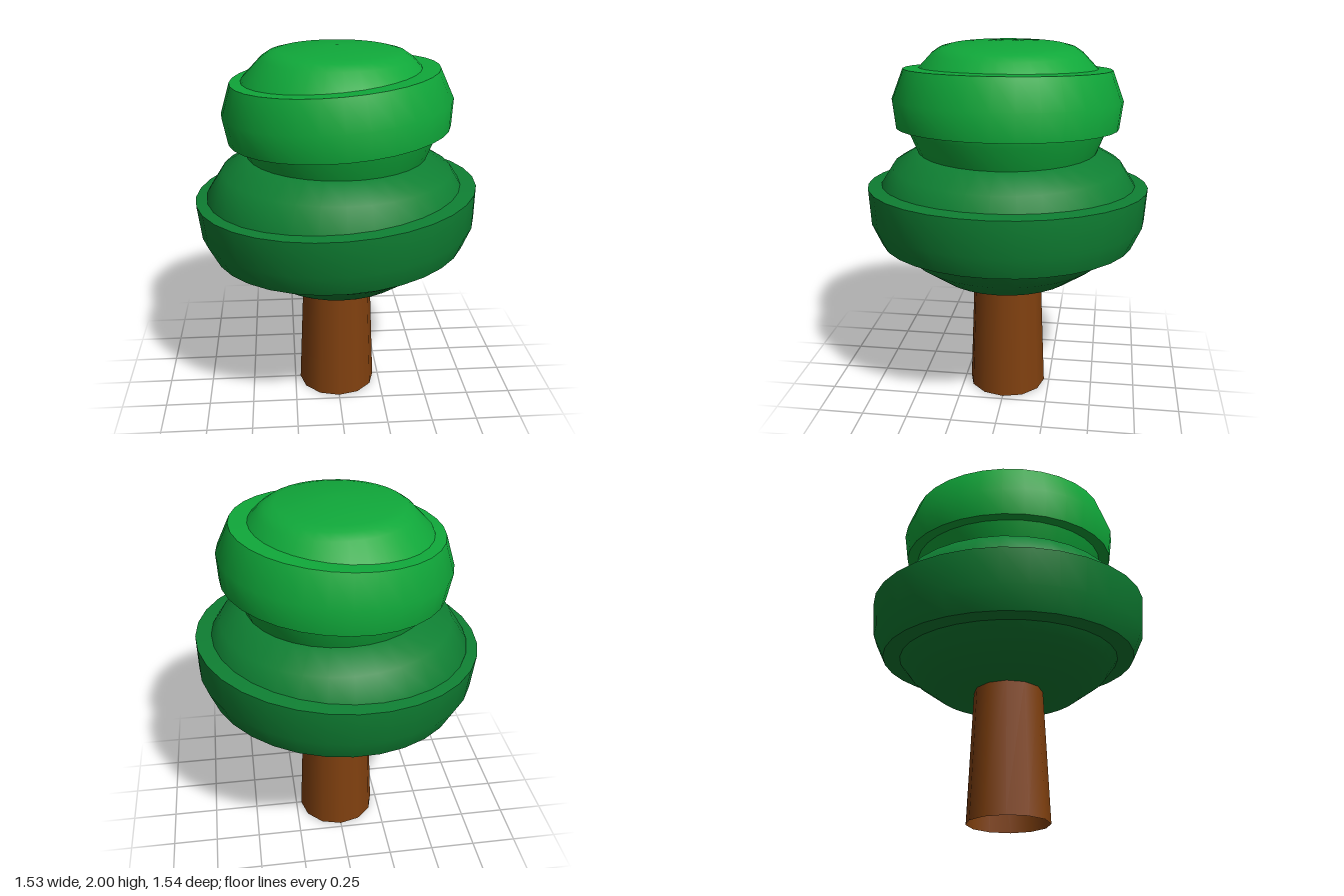
import * as THREE from 'three';
import { toCreasedNormals } from 'three/addons/utils/BufferGeometryUtils.js';

const SIDES = 32;

// Revolve a bottom-to-top profile, smooth except at sharp edges
function revolve(name, profile, material) {
  const points = profile.map(([r, y]) => new THREE.Vector2(r, y));
  const geometry = toCreasedNormals(new THREE.LatheGeometry(points, SIDES), 0.75);
  const mesh = new THREE.Mesh(geometry, material);
  mesh.name = name;
  return mesh;
}

// A revolved ring, placed at height y and leaning up towards +x
function tiltedBand(name, y, tilt, profile, material) {
  const band = revolve(name, profile, material);
  band.position.y = y;
  band.rotation.z = tilt;
  return band;
}

export function createModel() {
  const bark = new THREE.MeshStandardMaterial({ color: 0x80400f, side: THREE.DoubleSide });
  bark.name = 'bark brown';
  const darkLeaf = new THREE.MeshStandardMaterial({ color: 0x0f8033 });
  darkLeaf.name = 'dark leaf green';
  const lightLeaf = new THREE.MeshStandardMaterial({ color: 0x10a83a });
  lightLeaf.name = 'light leaf green';

  const tree = new THREE.Group();
  tree.name = 'tree';

  // Tapered trunk, open at the ends
  const trunk = new THREE.Mesh(new THREE.CylinderGeometry(0.19, 0.22, 0.73, 12, 1, true), bark);
  trunk.name = 'trunk';
  trunk.position.y = 0.365;
  tree.add(trunk);

  // Lower crown and its leaning band
  tree.add(revolve('lowerCrown', [
    [0, 0.72], [0.4, 0.72], [0.55, 0.83], [0.64, 0.95], [0.715, 1.08],
    [0.715, 1.2], [0.625, 1.34], [0.49, 1.42], [0, 1.425],
  ], darkLeaf));
  tree.add(tiltedBand('lowerBand', 1.07, 0.053, [
    [0.55, -0.16], [0.7, -0.16], [0.755, -0.04], [0.768, 0.15], [0.62, 0.165],
  ], darkLeaf));

  // Upper crown and its leaning band
  tree.add(revolve('upperCrown', [
    [0.485, 1.415], [0.54, 1.55], [0.565, 1.68], [0.5, 1.83],
    [0.4, 1.935], [0.36, 1.962], [0.31, 1.975], [0, 2],
  ], lightLeaf));
  tree.add(tiltedBand('upperBand', 1.69, 0.073, [
    [0.47, -0.145], [0.598, -0.145], [0.616, 0], [0.555, 0.16], [0.44, 0.165],
  ], lightLeaf));

  return tree;
}
